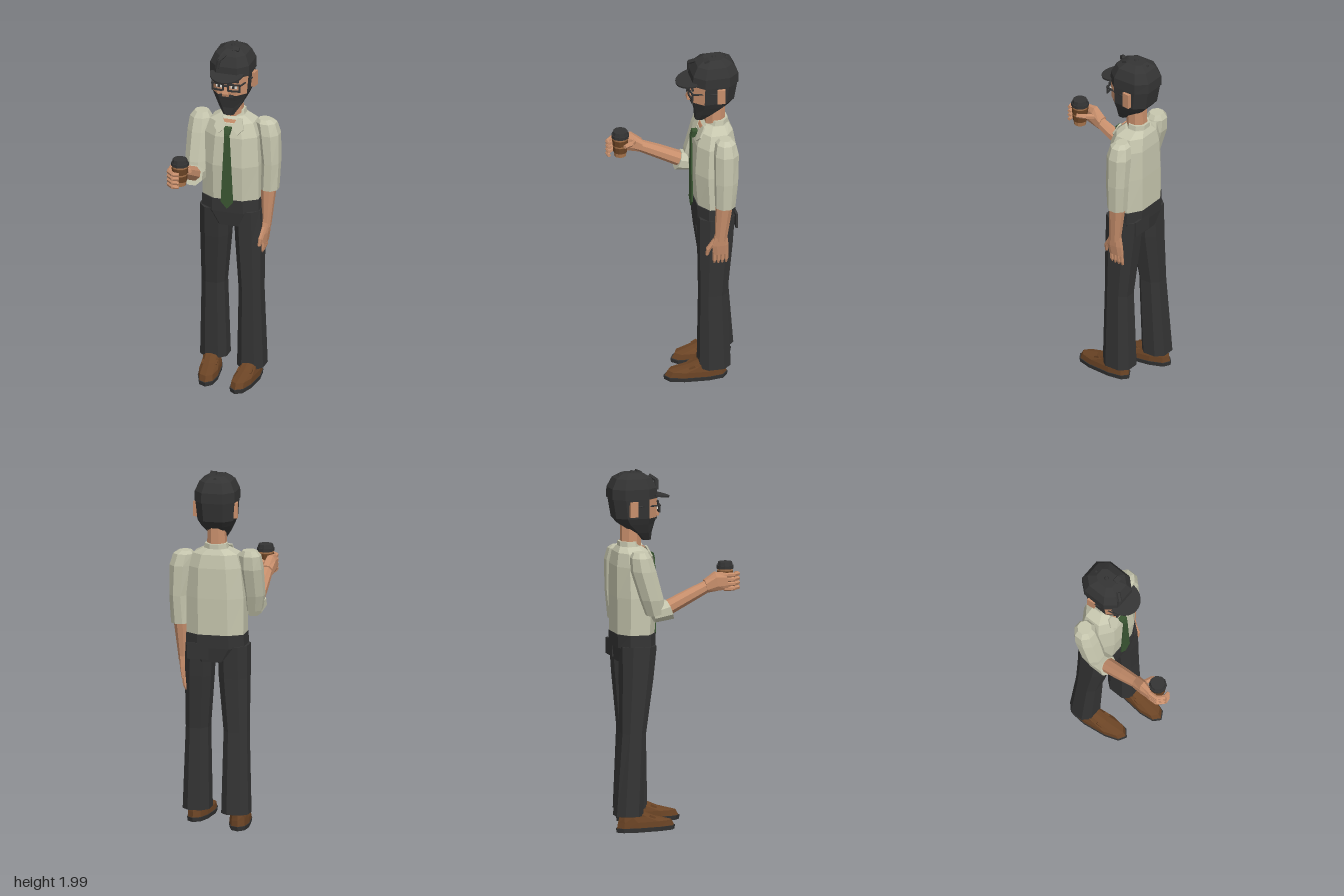
import * as THREE from 'three';

const mat = (name, color) => Object.assign(new THREE.MeshStandardMaterial({ color }), { name });
const M = {
  shirt: mat('shirt', 0xc6c6ae),
  skin: mat('skin', 0xc88f6c),
  black: mat('charcoal', 0x343434),
  brown: mat('brown leather', 0x6b4425),
  tie: mat('green tie', 0x3a5632),
  tan: mat('cup tan', 0xa9754c),
  white: mat('eye white', 0xe4e2da),
};

// faceted mesh
function mesh(parent, name, geo, material) {
  const g = geo.index ? geo.toNonIndexed() : geo;
  g.computeVertexNormals();
  const m = new THREE.Mesh(g, material);
  m.name = name;
  parent.add(m);
  return m;
}

// closed tube through rings [x, y, z, rx, rz]; tilt turns the rings from +y towards +z
function loft(parent, name, material, rings, { n = 8, pow = 1, tilt = 0, keep = () => true } = {}) {
  const p = (v, e) => Math.sign(v) * Math.pow(Math.abs(v), e);
  const s = 1 / p(Math.cos(Math.PI / n), pow);
  const pts = rings.map(([x, y, z, rx, rz]) => Array.from({ length: n }, (_, i) => {
    const a = (i + 0.5) / n * Math.PI * 2;
    const u = p(Math.cos(a), pow) * s * rx, v = p(Math.sin(a), pow) * s * rz;
    return [x + u, y - v * Math.sin(tilt), z + v * Math.cos(tilt)];
  }));
  const out = [], last = rings.length - 1;
  for (let i = 0; i < n; i++) {
    const j = (i + 1) % n;
    for (let r = 0; r < last; r++) {
      if (!keep(r, i)) continue;
      const A = pts[r], B = pts[r + 1];
      out.push(...A[i], ...B[i], ...A[j], ...A[j], ...B[i], ...B[j]);
    }
    if (keep(-1, i)) out.push(...rings[0].slice(0, 3), ...pts[0][i], ...pts[0][j]);
    if (keep(last, i)) out.push(...rings[last].slice(0, 3), ...pts[last][j], ...pts[last][i]);
  }
  const g = new THREE.BufferGeometry();
  g.setAttribute('position', new THREE.Float32BufferAttribute(out, 3));
  return mesh(parent, name, g, material);
}

function box(parent, name, material, w, h, d, x, y, z) {
  const m = mesh(parent, name, new THREE.BoxGeometry(w, h, d), material);
  m.position.set(x, y, z);
  return m;
}

// straight six-sided bars joining points
function bars(parent, name, material, pts, r0, r1 = r0) {
  for (let i = 0; i < pts.length - 1; i++) {
    const a = new THREE.Vector3(...pts[i]), d = new THREE.Vector3(...pts[i + 1]).sub(a);
    const g = new THREE.CylinderGeometry(i === pts.length - 2 ? r1 : r0, r0, d.length() * 1.08, 6);
    const m = mesh(parent, name, g, material);
    m.position.copy(a).addScaledVector(d, 0.5);
    m.quaternion.setFromUnitVectors(new THREE.Vector3(0, 1, 0), d.normalize());
  }
}

const polygon = pts => new THREE.Shape(pts.map(q => new THREE.Vector2(...q)));
const plate = (shape, depth) => new THREE.ExtrudeGeometry(shape, { depth, bevelEnabled: false, curveSegments: 8 });

function group(parent, name) {
  const g = new THREE.Group();
  g.name = name;
  parent.add(g);
  return g;
}

function buildHead(root) {
  const head = group(root, 'head');
  const rings = [
    [-0.005, 1.605, -0.135, 0.03, 0.025], [-0.005, 1.65, -0.165, 0.06, 0.055],
    [-0.005, 1.7, -0.195, 0.085, 0.095], [-0.005, 1.735, -0.205, 0.1, 0.115],
    [-0.005, 1.85, -0.213, 0.109, 0.126], [-0.005, 1.9, -0.215, 0.106, 0.12]];
  const isFace = (r, i) => r === 3 && i < 3;
  loft(head, 'hairAndBeard', M.black, rings, { pow: 0.7, keep: (r, i) => !isFace(r, i) });
  loft(head, 'face', M.skin, rings, { pow: 0.7, keep: isFace });
  loft(head, 'neck', M.skin, [[-0.005, 1.52, -0.225, 0.052, 0.055], [-0.005, 1.7, -0.22, 0.048, 0.055]]);
  // nose and moustache
  loft(head, 'nose', M.skin, [[-0.005, 1.735, -0.085, 0.017, 0.02], [-0.005, 1.75, -0.083, 0.018, 0.022],
    [-0.005, 1.805, -0.09, 0.01, 0.01]], { n: 4 });
  box(head, 'moustache', M.black, 0.08, 0.016, 0.012, -0.005, 1.731, -0.088);
  for (const s of [-1, 1]) {
    const x = -0.005 + s * 0.046;
    const ear = box(head, 'ear', M.skin, 0.022, 0.085, 0.045, -0.003 + s * 0.112, 1.79, -0.235);
    ear.rotation.y = -s * 0.15;
    box(head, 'eye', M.white, 0.036, 0.014, 0.006, x - s * 0.004, 1.787, -0.086);
    box(head, 'pupil', M.black, 0.013, 0.014, 0.006, x - s * 0.004, 1.787, -0.083);
    box(head, 'eyebrow', M.black, 0.05, 0.01, 0.01, x, 1.823, -0.084);
    // glasses
    const rim = polygon([[-0.037, -0.023], [0.037, -0.023], [0.037, 0.023], [-0.037, 0.023]]);
    rim.holes.push(polygon([[-0.028, -0.014], [-0.028, 0.014], [0.028, 0.014], [0.028, -0.014]]));
    const frame = mesh(head, 'glassesRim', plate(rim, 0.008), M.black);
    frame.position.set(x, 1.787, -0.079);
    frame.rotation.y = s * 0.12;
    bars(head, 'glassesArm', M.black, [[x + s * 0.036, 1.803, -0.08], [-0.005 + s * 0.113, 1.803, -0.23]], 0.005);
  }
  box(head, 'glassesBridge', M.black, 0.022, 0.008, 0.01, -0.005, 1.795, -0.074);

  // cap
  loft(head, 'capCrown', M.black, [
    [-0.006, 1.843, -0.215, 0.113, 0.13], [-0.006, 1.9, -0.216, 0.112, 0.127],
    [-0.006, 1.955, -0.216, 0.088, 0.1], [-0.006, 1.982, -0.216, 0.045, 0.055]], { pow: 0.7 });
  const half = new THREE.Shape().absellipse(0, 0, 0.096, 0.105, 0, Math.PI);
  const brim = mesh(head, 'capBrim', plate(half, 0.01), M.black);
  brim.position.set(-0.006, 1.866, -0.105);
  brim.rotation.x = Math.PI / 2 + 0.2;
  loft(head, 'capButton', M.black, [[-0.008, 1.98, -0.217, 0.013, 0.013], [-0.008, 1.992, -0.217, 0.008, 0.008]], { n: 6 });
  box(head, 'capClip', M.black, 0.036, 0.03, 0.03, 0.025, 1.972, -0.172).rotation.x = 0.4;
  loft(head, 'capTab', M.black, [[-0.01, 1.955, -0.285, 0.018, 0.012], [-0.01, 1.978, -0.29, 0.004, 0.004]], { n: 4 });
  bars(head, 'capHook', M.black, [[-0.06, 1.89, -0.09], [-0.05, 1.94, -0.088], [-0.025, 1.962, -0.12]], 0.012);
}

function buildTorso(root) {
  const torso = group(root, 'torso');
  loft(torso, 'shirt', M.shirt, [
    [-0.005, 1.08, -0.215, 0.16, 0.105], [-0.003, 1.3, -0.208, 0.163, 0.115],
    [0, 1.47, -0.213, 0.15, 0.108], [-0.003, 1.545, -0.22, 0.125, 0.09],
    [-0.005, 1.575, -0.23, 0.07, 0.063]], { pow: 0.75 });
  loft(torso, 'collar', M.shirt, [[-0.005, 1.56, -0.232, 0.068, 0.06], [-0.005, 1.602, -0.236, 0.06, 0.055]]);
  const front = group(torso, 'collarFront');
  front.position.set(-0.003, 1.47, -0.102);
  front.rotation.x = -0.46;
  const throat = polygon([[-0.045, 0.105], [0, 0.035], [0.045, 0.105]]);
  mesh(front, 'throat', plate(throat, 0.006), M.skin);
  for (const s of [-1, 1]) {
    const flap = [[0.015, 0.06], [0.055, 0.02], [0.085, 0.055], [0.07, 0.115], [0.045, 0.118]];
    mesh(front, 'collarFlap', plate(polygon(flap.map(([x, y]) => [s * x, y])), 0.009), M.shirt);
  }
  // tie
  const tie = polygon([[-0.014, 1.5], [-0.035, 1.09], [0, 1.05], [0.035, 1.09], [0.014, 1.5]]);
  mesh(torso, 'tie', plate(tie, 0.008), M.tie).position.set(-0.003, 0, -0.092);
  loft(torso, 'tieKnot', M.tie, [[-0.003, 1.49, -0.095, 0.013, 0.012], [-0.003, 1.53, -0.11, 0.02, 0.016]], { n: 4 });
}

function buildArms(root) {
  // left arm, hanging
  const left = group(root, 'leftArm');
  loft(left, 'leftSleeve', M.shirt, [
    [0.197, 1.14, -0.235, 0.05, 0.053], [0.205, 1.3, -0.24, 0.05, 0.062], [0.193, 1.47, -0.243, 0.06, 0.065],
    [0.178, 1.535, -0.243, 0.055, 0.052], [0.168, 1.553, -0.243, 0.035, 0.032]]);
  loft(left, 'leftForearm', M.skin, [[0.187, 0.92, -0.212, 0.023, 0.032], [0.194, 1.16, -0.232, 0.041, 0.046]]);
  loft(left, 'leftPalm', M.skin, [[0.177, 0.83, -0.215, 0.016, 0.043], [0.183, 0.89, -0.21, 0.02, 0.045],
    [0.187, 0.95, -0.214, 0.022, 0.034]], { pow: 0.8 });
  for (let i = 0; i < 4; i++) {
    const z = -0.247 + i * 0.022;
    bars(left, 'leftFinger', M.skin, [[0.177, 0.845, z], [0.17, 0.79, z], [0.162, 0.757 + 0.006 * Math.abs(i - 1.5), z]], 0.012, 0.008);
  }
  bars(left, 'leftThumb', M.skin, [[0.182, 0.92, -0.18], [0.172, 0.865, -0.147], [0.166, 0.825, -0.14]], 0.014, 0.009);

  // right arm, bent forward to hold the cup
  const right = group(root, 'rightArm');
  loft(right, 'rightSleeve', M.shirt, [
    [-0.19, 1.21, -0.135, 0.05, 0.05], [-0.198, 1.3, -0.158, 0.06, 0.062], [-0.195, 1.46, -0.205, 0.064, 0.066],
    [-0.193, 1.535, -0.22, 0.058, 0.055], [-0.19, 1.565, -0.223, 0.038, 0.038]]);
  loft(right, 'rightCuff', M.shirt, [[-0.19, 1.215, -0.155, 0.05, 0.045], [-0.19, 1.24, -0.055, 0.055, 0.055]], { tilt: 1.2 });
  loft(right, 'rightForearm', M.skin, [[-0.188, 1.235, -0.09, 0.042, 0.04], [-0.192, 1.31, 0.06, 0.036, 0.036],
    [-0.194, 1.36, 0.165, 0.029, 0.031]], { tilt: 1.15 });
  loft(right, 'rightPalm', M.skin, [[-0.194, 1.358, 0.15, 0.033, 0.035], [-0.203, 1.385, 0.21, 0.03, 0.052],
    [-0.212, 1.385, 0.27, 0.017, 0.047]], { tilt: 1.4, pow: 0.8 });
  for (let i = 0; i < 4; i++) {
    const y = 1.342 + i * 0.025;
    bars(right, 'rightFinger', M.skin, [[-0.214, y, 0.255], [-0.212, y, 0.31], [-0.178, y, 0.343], [-0.147, y, 0.34]], 0.013, 0.01);
  }
  bars(right, 'rightThumb', M.skin, [[-0.185, 1.39, 0.19], [-0.135, 1.405, 0.218], [-0.106, 1.41, 0.26]], 0.015, 0.011);

  // takeaway cup
  const cup = group(root, 'cup');
  const band = (name, m, y0, r0, y1, r1) =>
    loft(cup, name, m, [[-0.159, y0, 0.275, r0, r0], [-0.159, y1, 0.275, r1, r1]], { n: 10 });
  band('cupBody', M.tan, 1.33, 0.032, 1.45, 0.042);
  band('cupSleeve', M.brown, 1.355, 0.037, 1.39, 0.04);
  band('cupBand', M.brown, 1.4, 0.041, 1.435, 0.044);
  band('lidRim', M.black, 1.447, 0.047, 1.465, 0.047);
  band('lidTop', M.black, 1.465, 0.042, 1.485, 0.038);
}

function buildLegs(root) {
  const legs = group(root, 'trousers');
  loft(legs, 'hips', M.black, [[0.004, 0.94, -0.21, 0.1, 0.1], [-0.005, 1.02, -0.212, 0.165, 0.108],
    [-0.005, 1.095, -0.213, 0.162, 0.109]], { pow: 0.7 });
  box(legs, 'backPocket', M.black, 0.12, 0.09, 0.012, 0.08, 1.0, -0.315);
  loft(legs, 'leftTrouserLeg', M.black, [
    [0.112, 0.09, -0.19, 0.075, 0.088], [0.109, 0.55, -0.185, 0.063, 0.076], [0.097, 0.85, -0.2, 0.074, 0.092],
    [0.09, 1.03, -0.208, 0.076, 0.098]], { pow: 0.8 });
  loft(legs, 'rightTrouserLeg', M.black, [
    [-0.127, 0.09, -0.272, 0.077, 0.076], [-0.122, 0.55, -0.245, 0.066, 0.068], [-0.105, 0.85, -0.22, 0.08, 0.088],
    [-0.1, 1.03, -0.21, 0.083, 0.098]], { pow: 0.8 });

  // shoes, toe towards +z
  for (const [name, x, y, z, yaw] of [['leftShoe', 0.11, 0.018, -0.088, -0.08], ['rightShoe', -0.126, 0, -0.172, 0.14]]) {
    const shoe = group(root, name);
    loft(shoe, 'sole', M.black, [[0, 0, 0, 0.054, 0.168], [0, 0.024, 0, 0.058, 0.172]], { n: 10, pow: 0.8 });
    loft(shoe, 'upper', M.brown, [[0, 0.022, 0, 0.054, 0.166], [0, 0.055, -0.006, 0.053, 0.155],
      [0, 0.083, -0.055, 0.045, 0.1], [0, 0.12, -0.095, 0.042, 0.055]], { n: 10, pow: 0.8 });
    box(shoe, 'strap', M.brown, 0.086, 0.012, 0.035, 0, 0.079, 0.025).rotation.x = 0.4;
    shoe.position.set(x, y, z);
    shoe.rotation.y = yaw;
  }
}

export function createModel() {
  const root = new THREE.Group();
  root.name = 'standingManWithCup';
  buildHead(root);
  buildTorso(root);
  buildArms(root);
  buildLegs(root);
  return root;
}
